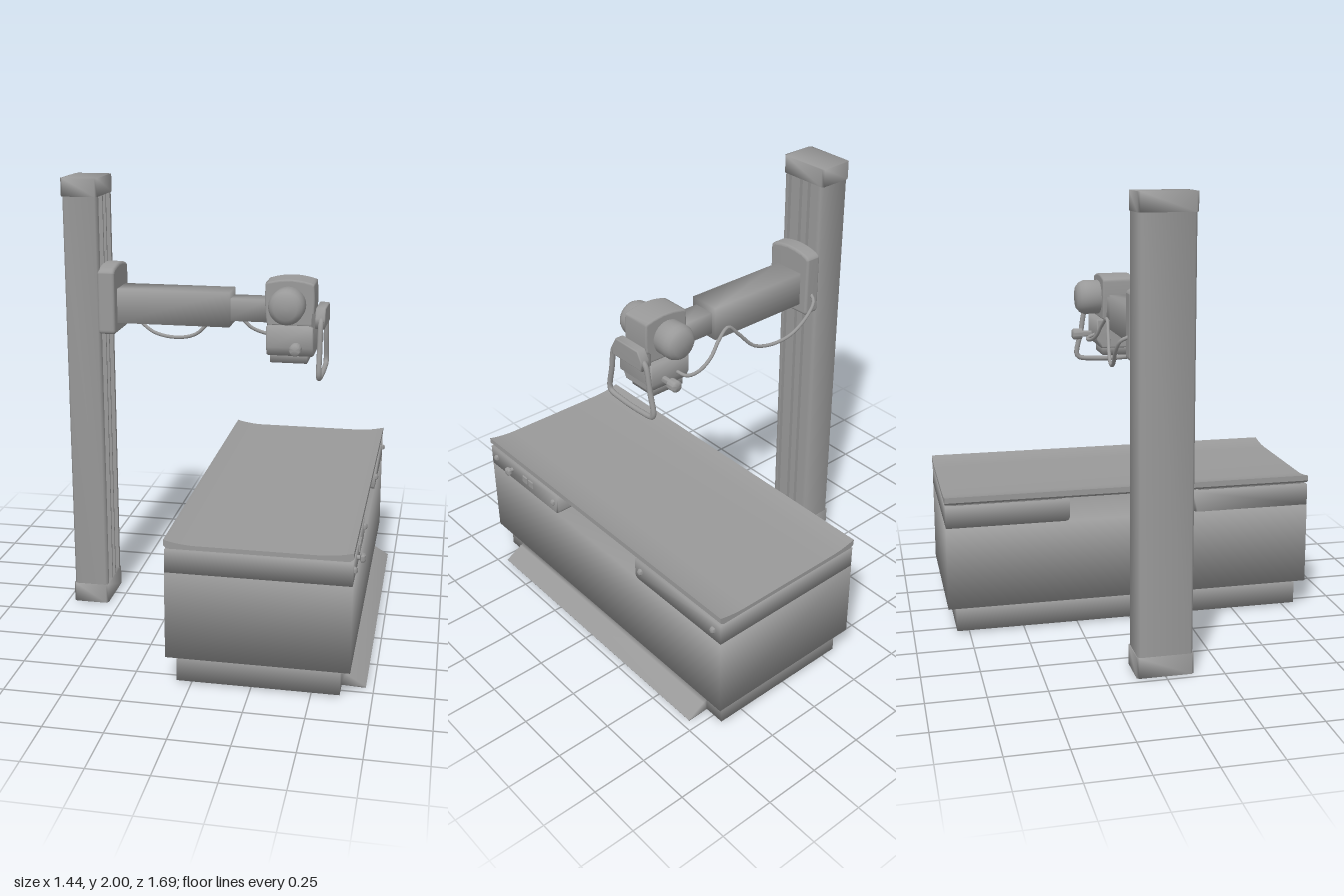
import * as THREE from 'three';
import { mergeVertices, toCreasedNormals } from 'three/addons/utils/BufferGeometryUtils.js';
import { RoundedBoxGeometry } from 'three/addons/geometries/RoundedBoxGeometry.js';

const material = new THREE.MeshStandardMaterial({ color: 0x999999 });

function add(parent, name, geometry) {
  const mesh = new THREE.Mesh(geometry, material);
  mesh.name = name;
  parent.add(mesh);
  return mesh;
}

// Shares normals over all edges, so that the whole part is shaded smoothly
function soft(geometry) {
  geometry.deleteAttribute('uv');
  geometry.deleteAttribute('normal');
  const g = mergeVertices(geometry);
  g.computeVertexNormals();
  return g;
}

// Box given by its limits on each axis: rounded edges, or plain with soft shading
function box(x0, x1, y0, y1, z0, z1, r = 0) {
  const s = [x1 - x0, y1 - y0, z1 - z0];
  const g = r ? new RoundedBoxGeometry(...s, 3, r) : soft(new THREE.BoxGeometry(...s));
  return g.translate((x0 + x1) / 2, (y0 + y1) / 2, (z0 + z1) / 2);
}

// Shape from a list of corner pairs
function polygon(points) {
  return new THREE.Shape(points.map(p => new THREE.Vector2(...p)));
}

// Shape swept from a to b along an axis; a bevel stays inside the outline and limits.
// Shape coordinates are (x,y) for axis z, (-z,y) for axis x and (x,-z) for axis y.
function sweep(shape, axis, a, b, bevel = 0, crease = 0.6) {
  const g = new THREE.ExtrudeGeometry(shape, {
    depth: b - a - 2 * bevel, bevelEnabled: bevel > 0, bevelSize: bevel,
    bevelOffset: -bevel, bevelThickness: bevel, bevelSegments: 3, curveSegments: 16,
  });
  g.translate(0, 0, a + bevel);
  if (axis === 'x') g.rotateY(Math.PI / 2);
  if (axis === 'y') g.rotateX(-Math.PI / 2);
  return toCreasedNormals(g, crease);
}

function tube(points, r) {
  const curve = new THREE.CatmullRomCurve3(points.map(p => new THREE.Vector3(...p)));
  return new THREE.TubeGeometry(curve, 64, r, 10);
}

// Turned part, profile pairs (radius, distance); its axis points along +x or +/-z
function turned(profile, axis, side = 1) {
  const g = new THREE.LatheGeometry(profile.map(p => new THREE.Vector2(...p)), 28);
  if (axis === 'x') g.rotateZ(-Math.PI / 2);
  else g.rotateX(side * Math.PI / 2);
  return toCreasedNormals(g, 1.1);
}

function makeColumn() {
  const g = new THREE.Group();
  g.name = 'column';
  // Post with three guide grooves on the side facing the table
  const front = -0.557, groove = -0.575;
  const outline = [[-0.705, -0.118], [front - 0.01, -0.118], [front, -0.108]];
  for (const [z, half] of [[-0.06, 0.03], [0, 0.02], [0.06, 0.03]]) {
    outline.push([front, z - half], [groove, z - half], [groove, z + half], [front, z + half]);
  }
  outline.push([front, 0.108], [front - 0.01, 0.118], [-0.705, 0.118], [-0.715, 0.108], [-0.715, -0.108]);
  add(g, 'columnPost', sweep(polygon(outline), 'y', 0.08, 1.93, 0, 1));
  // End caps with chamfered corners
  const cap = polygon([[-0.71, -0.123], [-0.564, -0.123], [-0.554, -0.113], [-0.554, 0.113],
    [-0.564, 0.123], [-0.71, 0.123], [-0.72, 0.113], [-0.72, -0.113]]);
  add(g, 'columnFoot', soft(sweep(cap, 'y', 0, 0.09)));
  add(g, 'columnCap', soft(sweep(cap, 'y', 1.92, 2)));
  return g;
}

function makeArm() {
  const g = new THREE.Group();
  g.name = 'arm';
  // Carriage plate with an arched top
  const plate = new THREE.Shape();
  plate.moveTo(-0.1, 1.31);
  plate.lineTo(0.1, 1.31);
  plate.quadraticCurveTo(0.12, 1.31, 0.12, 1.33);
  plate.lineTo(0.12, 1.585);
  plate.quadraticCurveTo(0.115, 1.6, 0.09, 1.607);
  plate.quadraticCurveTo(0, 1.632, -0.09, 1.607);
  plate.quadraticCurveTo(-0.115, 1.6, -0.12, 1.585);
  plate.lineTo(-0.12, 1.33);
  plate.quadraticCurveTo(-0.12, 1.31, -0.1, 1.31);
  add(g, 'carriage', soft(sweep(plate, 'x', -0.565, -0.488, 0.012)));
  add(g, 'outerArm', box(-0.5, 0.023, 1.355, 1.51, -0.077, 0.073));
  add(g, 'innerArm', box(0.0, 0.19, 1.38, 1.48, -0.055, 0.05));
  // Cable hanging behind the arm in two loops
  add(g, 'cable', tube([
    [-0.525, 1.41, -0.11], [-0.51, 1.39, -0.145], [-0.47, 1.345, -0.156], [-0.38, 1.272, -0.147],
    [-0.27, 1.252, -0.135], [-0.17, 1.275, -0.12], [-0.09, 1.355, -0.107], [-0.03, 1.41, -0.1],
    [0.03, 1.375, -0.11], [0.09, 1.315, -0.125], [0.17, 1.285, -0.14], [0.235, 1.285, -0.135], [0.26, 1.3, -0.09],
  ], 0.008));
  return g;
}

function makeTubeHead() {
  const g = new THREE.Group();
  g.name = 'tubeHead';
  g.position.x = 0.005;
  // Central yoke with an arched top
  const yoke = new THREE.Shape();
  yoke.moveTo(0.185, 1.372);
  yoke.lineTo(0.385, 1.372);
  yoke.quadraticCurveTo(0.402, 1.47, 0.39, 1.56);
  yoke.quadraticCurveTo(0.283, 1.595, 0.178, 1.56);
  yoke.quadraticCurveTo(0.17, 1.47, 0.185, 1.372);
  add(g, 'yoke', soft(sweep(yoke, 'z', -0.073, 0.073, 0.008)));
  // Housings and knobs on both sides
  for (const side of [1, -1]) {
    const label = side > 0 ? 'front' : 'back';
    add(g, label + 'Housing', turned([[0.065, 0.05], [0.079, 0.08], [0.079, 0.145], [0.07, 0.165], [0.052, 0.18], [0, 0.182]], 'z', side))
      .position.set(0.28, 1.47, 0);
    add(g, label + 'Knob', turned([[0.014, 0.08], [0.014, 0.145], [0.026, 0.147], [0.026, 0.185], [0.02, 0.192], [0, 0.192]], 'z', side))
      .position.set(0.325, 1.29, 0);
  }
  // Collimator and its window
  add(g, 'collimator', soft(sweep(polygon([[-0.078, 1.24], [0.078, 1.24], [0.1, 1.28], [0.1, 1.375], [-0.1, 1.375], [-0.1, 1.28]]),
    'x', 0.185, 0.395, 0.008)));
  add(g, 'collimatorWindow', box(0.2, 0.365, 1.205, 1.25, -0.07, 0.07));
  // Control panel and grab handle
  add(g, 'panelBack', box(0.385, 0.413, 1.29, 1.43, -0.09, 0.09));
  add(g, 'controlPanel', soft(sweep(polygon([[-0.1, 1.37], [0.1, 1.37], [0.1, 1.415], [0.075, 1.457], [-0.075, 1.457], [-0.1, 1.415]]),
    'x', 0.4, 0.445, 0.006)));
  add(g, 'grabHandle', tube([
    [0.427, 1.41, 0.09], [0.427, 1.39, 0.11], [0.427, 1.28, 0.132], [0.427, 1.18, 0.152], [0.427, 1.162, 0.142],
    [0.427, 1.152, 0.07], [0.427, 1.15, 0], [0.427, 1.152, -0.07],
    [0.427, 1.162, -0.142], [0.427, 1.18, -0.152], [0.427, 1.28, -0.132], [0.427, 1.39, -0.11], [0.427, 1.41, -0.09],
  ], 0.012));
  return g;
}

function makeTable() {
  const g = new THREE.Group();
  g.name = 'table';
  g.position.x = 0.003;
  // Dished table top
  const top = new THREE.Shape();
  top.moveTo(-0.09, 0.613);
  top.lineTo(0.645, 0.613);
  top.lineTo(0.66, 0.625);
  top.lineTo(0.66, 0.65);
  top.quadraticCurveTo(0.6, 0.634, 0.53, 0.632);
  top.lineTo(0.02, 0.632);
  top.quadraticCurveTo(-0.045, 0.634, -0.105, 0.65);
  top.lineTo(-0.105, 0.625);
  add(g, 'tableTop', sweep(top, 'z', -0.847, 0.847));
  // End supports, leaving an open slot between them
  for (const side of [1, -1]) {
    const support = new THREE.Shape();
    support.moveTo(-side * 0.845, 0.508);
    support.lineTo(-side * 0.315, 0.508);
    support.quadraticCurveTo(-side * 0.288, 0.508, -side * 0.288, 0.53);
    support.lineTo(-side * 0.288, 0.606);
    support.lineTo(-side * 0.845, 0.606);
    add(g, side > 0 ? 'frontSupport' : 'backSupport', soft(sweep(support, 'x', -0.102, 0.658)));
    add(g, 'supportSpacer', box(-0.08, 0.635, 0.6, 0.616, side * 0.57 - 0.25, side * 0.57 + 0.25));
  }
  add(g, 'tableBody', box(-0.104, 0.658, 0.13, 0.508, -0.845, 0.845));
  add(g, 'baseNeck', box(-0.04, 0.59, 0.11, 0.14, -0.78, 0.78));
  add(g, 'base', box(-0.065, 0.615, 0.008, 0.122, -0.806, 0.806));
  // Sloping foot pedal along the working side
  add(g, 'footPedal', soft(sweep(polygon([[0.61, 0.004], [0.712, 0], [0.715, 0.006], [0.632, 0.055], [0.61, 0.062]]), 'z', -0.707, 0.71)));
  // Side controls
  for (const z of [0.8, 0.325, -0.327, -0.8]) {
    add(g, 'sideScrew', turned([[0.014, -0.01], [0.014, 0.008], [0.009, 0.016], [0, 0.018]], 'x')).position.set(0.656, 0.56, z);
  }
  add(g, 'controlKnob', turned([[0.01, -0.01], [0.01, 0.015], [0.02, 0.02], [0.02, 0.032], [0.012, 0.038], [0, 0.038]], 'x'))
    .position.set(0.656, 0.56, 0.668);
  for (const z of [0.557, 0.508]) {
    add(g, 'pushButton', box(0.65, 0.664, 0.542, 0.578, z - 0.018, z + 0.018, 0.003));
  }
  return g;
}

export function createModel() {
  const model = new THREE.Group();
  model.name = 'xrayTable';
  model.add(makeColumn(), makeArm(), makeTubeHead(), makeTable());
  return model;
}
